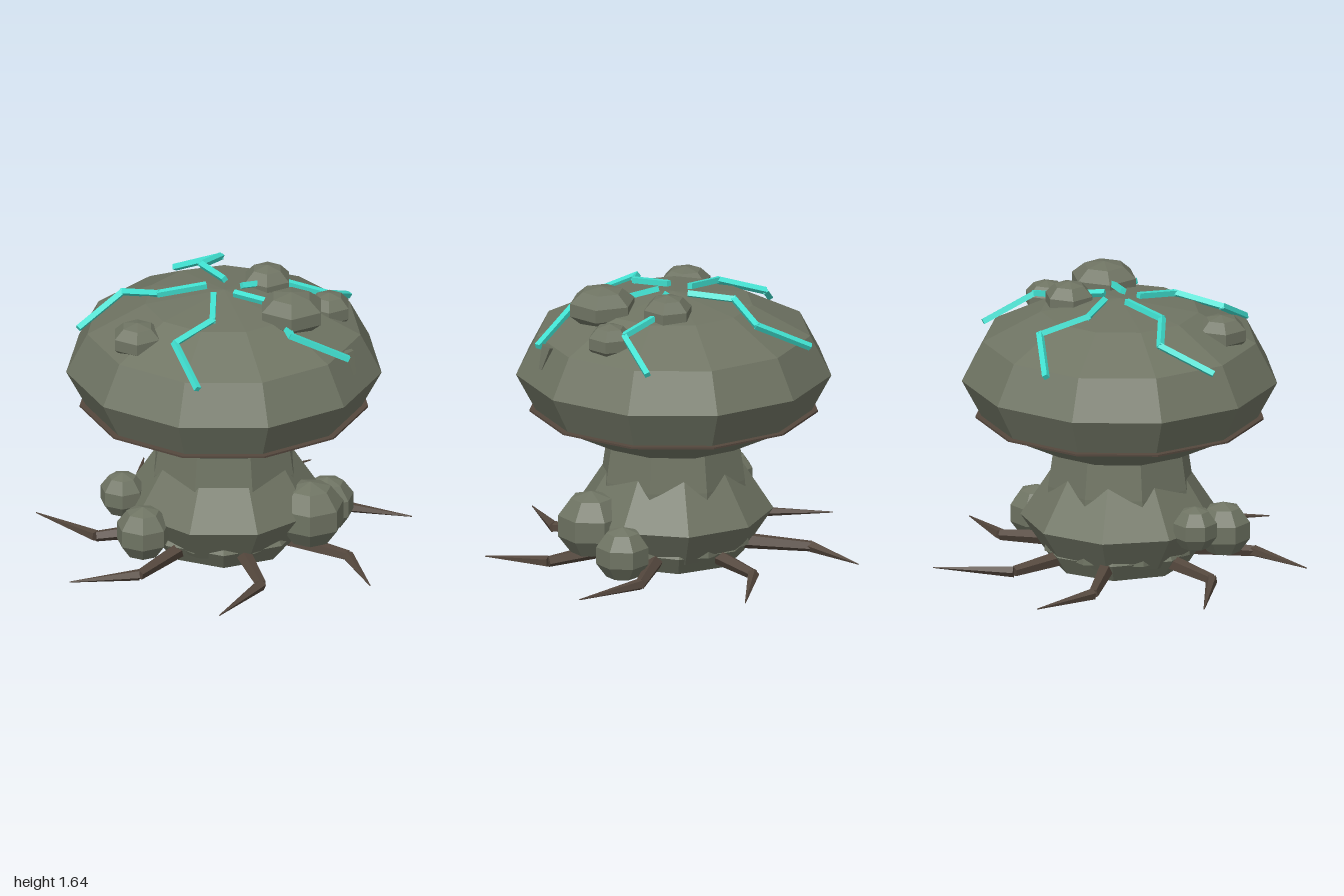
import * as THREE from 'three';

const mat = (name, color) => {
  const m = new THREE.MeshStandardMaterial({ color, flatShading: true });
  m.name = name;
  return m;
};

export function createModel() {
  const stone = mat('mossy grey', 0x6f7463);
  const bark = mat('dark bark', 0x54473d);
  const glow = mat('turquoise', 0x40e0d0);
  const root = new THREE.Group();
  root.name = 'stoneMushroom';
  const CZ = -0.05; // axis of the cap and stem

  const add = (name, geo, m, parent = root) => {
    const mesh = new THREE.Mesh(geo, m);
    mesh.name = name;
    parent.add(mesh);
    return mesh;
  };
  const group = (name) => {
    const g = new THREE.Group();
    g.name = name;
    root.add(g);
    return g;
  };
  // faceted solid of revolution from [radius, y] pairs, listed bottom to top
  const turned = (name, pts, sides, turn, m) => {
    const geo = new THREE.LatheGeometry(pts.map(([r, y]) => new THREE.Vector2(r, y)), sides);
    geo.rotateY(turn).translate(0, 0, CZ);
    return add(name, geo, m);
  };
  // aims a geometry's y axis from a to b and puts it midway
  const span = (name, a, b, makeGeo, m, parent) => {
    const dir = b.clone().sub(a);
    const mesh = add(name, makeGeo(dir.length()), m, parent);
    mesh.position.copy(a).add(b).multiplyScalar(0.5);
    mesh.quaternion.setFromUnitVectors(new THREE.Vector3(0, 1, 0), dir.normalize());
    return mesh;
  };

  // cap: squashed ball of 11 sides and 6 rows
  const capPts = [];
  for (let i = 0; i <= 6; i++) {
    const a = (i / 6) * Math.PI;
    capPts.push([0.848 * Math.sin(a), 1.145 - 0.43 * Math.cos(a)]);
  }
  turned('cap', capPts, 11, Math.PI, stone);

  // thin dark ring under the cap's edge
  turned('capRim', [[0.72, 0.935], [0.775, 0.935], [0.775, 0.945], [0.72, 0.945]], 11, Math.PI, bark);

  // stem, its swollen foot and the ball below
  turned('stem', [[0.42, 0.2], [0.4, 0.56], [0.365, 0.8]], 8, Math.PI / 8, stone);
  turned('stemBulge', [[0.4, 0.17], [0.53, 0.365], [0.3, 0.72]], 9, Math.PI, stone);
  turned('rootBall', [[0, 0.005], [0.37, 0.11], [0.435, 0.21], [0.37, 0.32], [0, 0.4]], 8, 0, stone);

  // growths: [x, y, z, radius, half height]
  const lumps = (name, list, sides) => {
    const g = group(name + 's');
    for (const [x, y, z, r, h] of list) {
      const geo = new THREE.SphereGeometry(r, sides, 5);
      geo.rotateY(Math.PI / 2).scale(1, h / r, 1);
      add(name, geo, stone, g).position.set(x, y, z);
    }
  };
  lumps('capBump', [
    [0.36, 1.535, 0.14, 0.19, 0.115],
    [0.23, 1.54, -0.21, 0.14, 0.105],
    [0.56, 1.44, -0.09, 0.125, 0.1],
    [-0.46, 1.43, 0.27, 0.145, 0.1],
  ], 6);
  lumps('baseNodule', [
    [0.46, 0.345, 0.13, 0.19, 0.185],
    [0.55, 0.265, -0.17, 0.15, 0.15],
    [-0.43, 0.315, 0.31, 0.15, 0.15],
    [-0.54, 0.405, 0.02, 0.125, 0.125],
  ], 7);

  // small stub at the cap's shoulder
  span('capStub', new THREE.Vector3(0.69, 1.235, 0.285), new THREE.Vector3(0.655, 1.36, 0.265),
    (l) => new THREE.CylinderGeometry(0.04, 0.015, l, 5), stone, root);

  // roots: bend and tip as x, z
  const roots = group('roots');
  [
    [0.62, -0.36, 1.0, -0.26], [0.66, 0.26, 0.78, 0.6], [0.2, 0.62, -0.02, 0.97],
    [-0.45, 0.5, -0.82, 0.56], [-0.68, 0.02, -1.0, -0.3], [-0.46, -0.62, -0.43, -0.98],
    [0.1, -0.7, 0.46, -0.96],
  ].forEach(([bx, bz, tx, tz]) => {
    const bend = new THREE.Vector3(bx, 0.155, bz);
    const start = new THREE.Vector3(bx * 0.48, 0.185, CZ + (bz - CZ) * 0.48);
    const tip = new THREE.Vector3(tx, 0.14, tz);
    span('rootInner', start, bend, (l) => new THREE.CylinderGeometry(0.03, 0.045, l, 5), bark, roots);
    span('rootOuter', bend, tip, (l) => new THREE.CylinderGeometry(0.003, 0.032, l, 5), bark, roots);
  });

  // glowing veins: zigzag bars over the cap
  const veins = group('veins');
  [
    [[0, 1.585, -0.16], [-0.12, 1.57, -0.37], [-0.02, 1.5, -0.62], [-0.26, 1.36, -0.78]],
    [[-0.1, 1.585, -0.08], [-0.35, 1.55, -0.05], [-0.54, 1.48, -0.22], [-0.77, 1.35, -0.05]],
    [[-0.055, 1.585, 0.04], [-0.06, 1.55, 0.28], [-0.26, 1.49, 0.44], [-0.14, 1.35, 0.7]],
    [[0.06, 1.585, 0.02], [0.26, 1.565, 0.1], [0.36, 1.49, 0.35], [0.66, 1.35, 0.33]],
    [[0.1, 1.585, -0.08], [0.3, 1.55, -0.21], [0.55, 1.49, -0.18], [0.66, 1.36, -0.44]],
  ].forEach((path) => {
    const p = path.map((q) => new THREE.Vector3(...q));
    for (let i = 0; i < 3; i++) {
      span('vein', p[i], p[i + 1], (l) => new THREE.BoxGeometry(0.03, l + 0.015, 0.03), glow, veins);
    }
  });

  return root;
}
